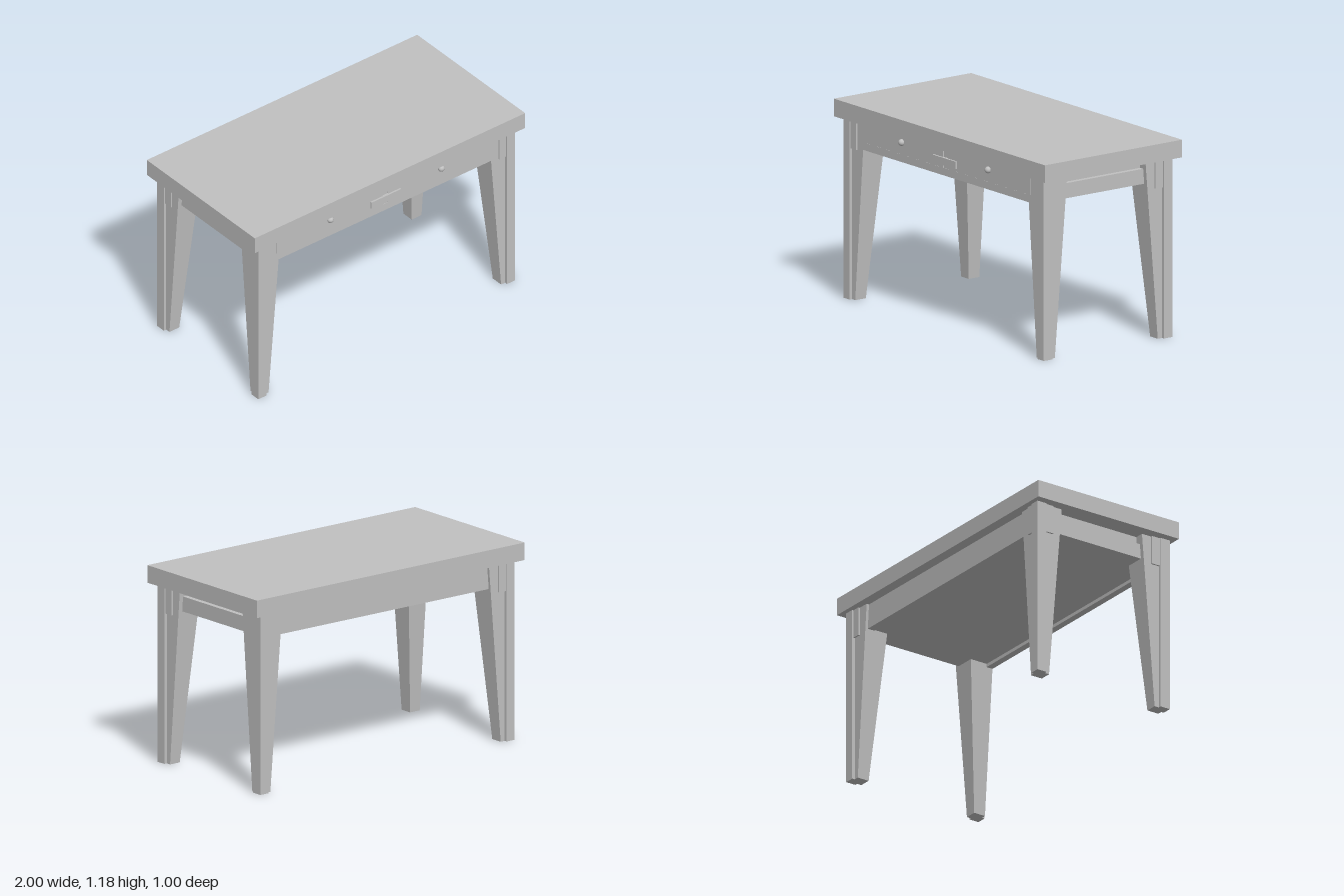
import * as THREE from 'three';

const lightGrey = new THREE.MeshStandardMaterial({ color: 0xc0c0c0 });
lightGrey.name = 'light grey';

// Box given by its extents on each axis
function block(name, x, y, z) {
  const [[x0, x1], [y0, y1], [z0, z1]] = [x, y, z].map(r => [Math.min(...r), Math.max(...r)]);
  const mesh = new THREE.Mesh(new THREE.BoxGeometry(x1 - x0, y1 - y0, z1 - z0), lightGrey);
  mesh.position.set((x0 + x1) / 2, (y0 + y1) / 2, (z0 + z1) / 2);
  mesh.name = name;
  return mesh;
}

const TOP = 1.075; // underside of the table top

// Leg with a square outer post and a slightly recessed body that widens inwards
function leg(sx, sz) {
  const group = new THREE.Group();
  group.name = (sz > 0 ? 'front' : 'back') + (sx > 0 ? 'Left' : 'Right') + 'Leg';

  group.add(block('legPost', [0.89 * sx, 0.95 * sx], [0, TOP], [0.405 * sz, 0.47 * sz]));

  const geo = new THREE.BoxGeometry(2, TOP, 2);
  geo.translate(0, TOP / 2, 0);
  const p = geo.attributes.position;
  for (let i = 0; i < p.count; i++) {
    const t = p.getY(i) / TOP;
    const outerX = p.getX(i) * sx > 0, outerZ = p.getZ(i) * sz > 0;
    p.setX(i, sx * (outerX ? 0.932 : 0.86 - 0.088 * t));
    p.setZ(i, sz * (outerZ ? 0.452 : 0.375 - 0.09 * t));
  }
  geo.computeVertexNormals();
  const body = new THREE.Mesh(geo, lightGrey);
  body.name = 'taperedLegBody';
  group.add(body);

  // Short mounting blocks beside the post
  group.add(block('faceBlock', [0.84 * sx, 0.89 * sx], [0.9, TOP], [0.42 * sz, 0.462 * sz]));
  group.add(block('sideBlock', [0.9 * sx, 0.942 * sx], [0.9, TOP], [0.35 * sz, 0.405 * sz]));
  return group;
}

export function createModel() {
  const table = new THREE.Group();
  table.name = 'table';

  table.add(block('tableTop', [-1, 1], [TOP, 1.18], [-0.5, 0.5]));
  for (const sx of [-1, 1]) for (const sz of [-1, 1]) table.add(leg(sx, sz));

  // Frame under the top
  table.add(block('frontRail', [-0.82, 0.82], [0.91, 0.955], [0.41, 0.452]));
  table.add(block('backRail', [-0.86, 0.86], [0.925, TOP], [-0.435, -0.39]));
  table.add(block('bottomPanel', [-0.87, 0.87], [0.93, 0.95], [-0.4, 0.42]));
  for (const s of [-1, 1]) {
    table.add(block('sideRail', [0.86 * s, 0.905 * s], [0.93, 1.02], [-0.36, 0.36]));
    table.add(block('upperSideRail', [0.84 * s, 0.875 * s], [1.02, TOP], [-0.36, 0.36]));
  }

  // Drawers with round knobs
  for (const s of [-1, 1]) {
    table.add(block('drawerFront', [0.022 * s, 0.8 * s], [0.957, TOP], [0.42, 0.456]));
    const knob = new THREE.Mesh(new THREE.SphereGeometry(0.02, 20, 14), lightGrey);
    knob.position.set(0.41 * s, 1.03, 0.461);
    knob.name = 'drawerKnob';
    table.add(knob);
  }

  // Upright between the drawers and the plate across it
  table.add(block('drawerDivider', [-0.022, 0.022], [0.955, TOP], [0.4, 0.45]));
  table.add(block('centrePlate', [-0.11, 0.11], [0.975, 1.02], [0.44, 0.468]));

  return table;
}
